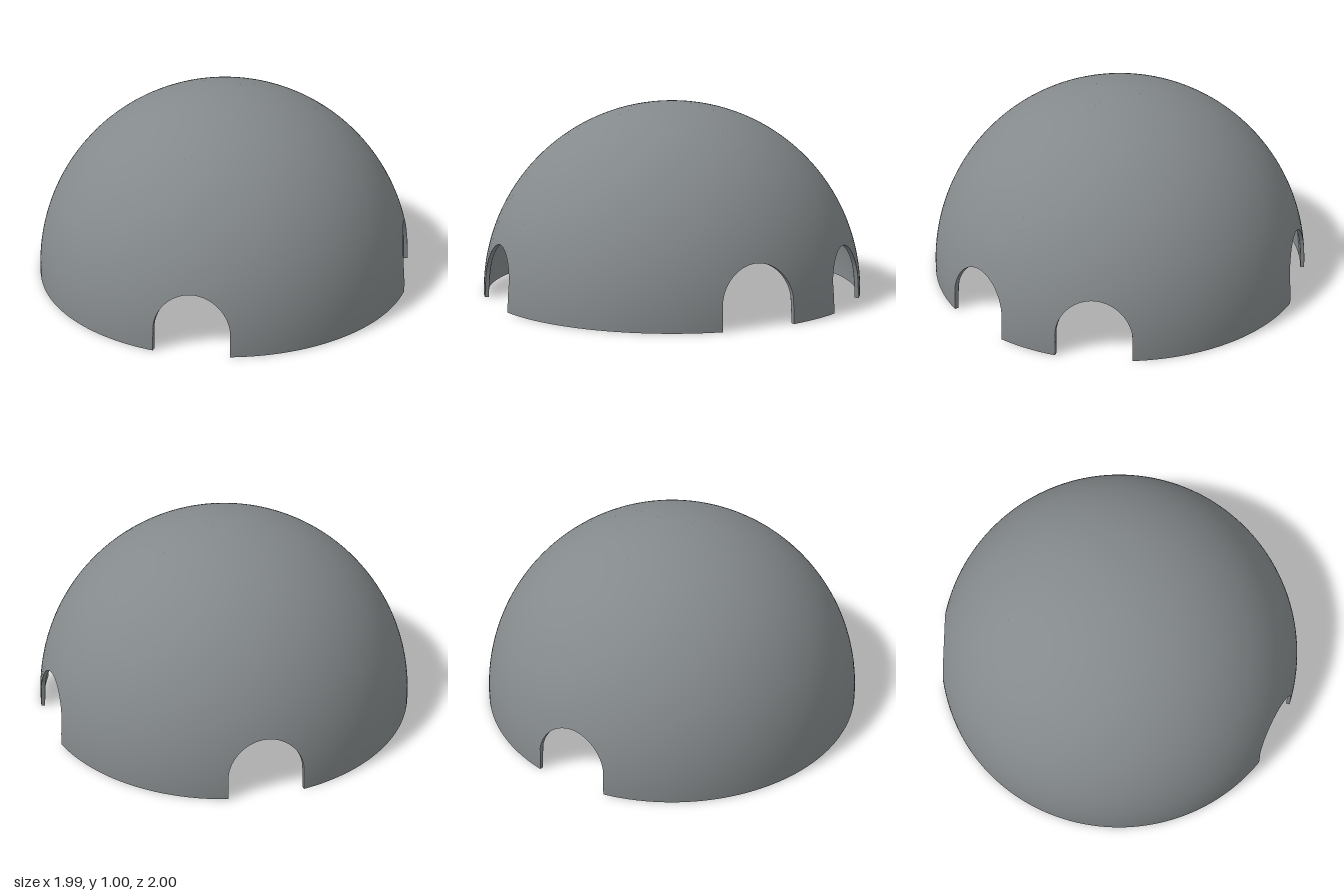
import * as THREE from 'three';

const OUTER = 1, INNER = 0.98;           // shell radii
const HALF = 0.19, SPRING = 0.115;       // doorway half width and height where its arch starts
const DOORS = [-78.6, 1.2, 40.5, 130.4]; // doorway bearings in degrees, from +x towards +z
const ROWS = 48, ARCH = 36;

// Bottom outline of the dome as [bearing, height], running round every doorway
function outline() {
  const pts = [];
  const w = Math.asin(HALF);
  DOORS.forEach((deg, i) => {
    const mid = THREE.MathUtils.degToRad(deg);
    pts.push([mid - w, 0]);
    for (let k = 0; k <= ARCH; k++) {
      const t = Math.PI * k / ARCH;
      pts.push([mid - Math.asin(HALF * Math.cos(t)), SPRING + HALF * Math.sin(t)]);
    }
    // ground edge up to the next doorway
    const nextDeg = i + 1 < DOORS.length ? DOORS[i + 1] : DOORS[0] + 360;
    const start = mid + w, end = THREE.MathUtils.degToRad(nextDeg) - w;
    const steps = Math.ceil((end - start) / 0.035);
    for (let k = 0; k < steps; k++) pts.push([start + (end - start) * k / steps, 0]);
  });
  pts.push([pts[0][0] + 2 * Math.PI, 0]);
  return pts;
}

// Point on a sphere of radius r
function onSphere(r, bearing, elevation) {
  const c = r * Math.cos(elevation);
  return [c * Math.cos(bearing), r * Math.sin(elevation), c * Math.sin(bearing)];
}

// Spherical skin from the outline up to the pole
function skin(pts, r, side) {
  const pos = [], nor = [], index = [];
  pts.forEach(([bearing, y], i) => {
    const low = Math.asin(y / r);
    for (let j = 0; j <= ROWS; j++) {
      const e = low + (Math.PI / 2 - low) * j / ROWS;
      pos.push(...onSphere(r, bearing, e));
      nor.push(...onSphere(side, bearing, e));
      if (i === pts.length - 1 || j === ROWS) continue;
      const a = i * (ROWS + 1) + j, b = a + ROWS + 1;
      if (side > 0) index.push(a, a + 1, b, b, a + 1, b + 1);
      else index.push(a, b, a + 1, b, b + 1, a + 1);
    }
  });
  const g = new THREE.BufferGeometry();
  g.setAttribute('position', new THREE.Float32BufferAttribute(pos, 3));
  g.setAttribute('normal', new THREE.Float32BufferAttribute(nor, 3));
  g.setIndex(index);
  return g;
}

// Cut edge joining the outer and inner skins
function edge(pts) {
  const pos = [];
  const at = (r, [bearing, y]) => onSphere(r, bearing, Math.asin(y / r));
  for (let i = 0; i < pts.length - 1; i++) {
    const a = at(OUTER, pts[i]), b = at(OUTER, pts[i + 1]);
    const c = at(INNER, pts[i + 1]), d = at(INNER, pts[i]);
    pos.push(...a, ...b, ...d, ...b, ...c, ...d);
  }
  const g = new THREE.BufferGeometry();
  g.setAttribute('position', new THREE.Float32BufferAttribute(pos, 3));
  g.computeVertexNormals();
  return g;
}

export function createModel() {
  const grey = new THREE.MeshStandardMaterial({ color: 0x84898b });
  grey.name = 'grey';
  const dome = new THREE.Group();
  dome.name = 'dome';
  const add = (name, geometry) => {
    const mesh = new THREE.Mesh(geometry, grey);
    mesh.name = name;
    dome.add(mesh);
  };
  const pts = outline();
  add('outerShell', skin(pts, OUTER, 1));
  add('innerShell', skin(pts, INNER, -1));
  add('rimAndDoorFrames', edge(pts));
  return dome;
}
